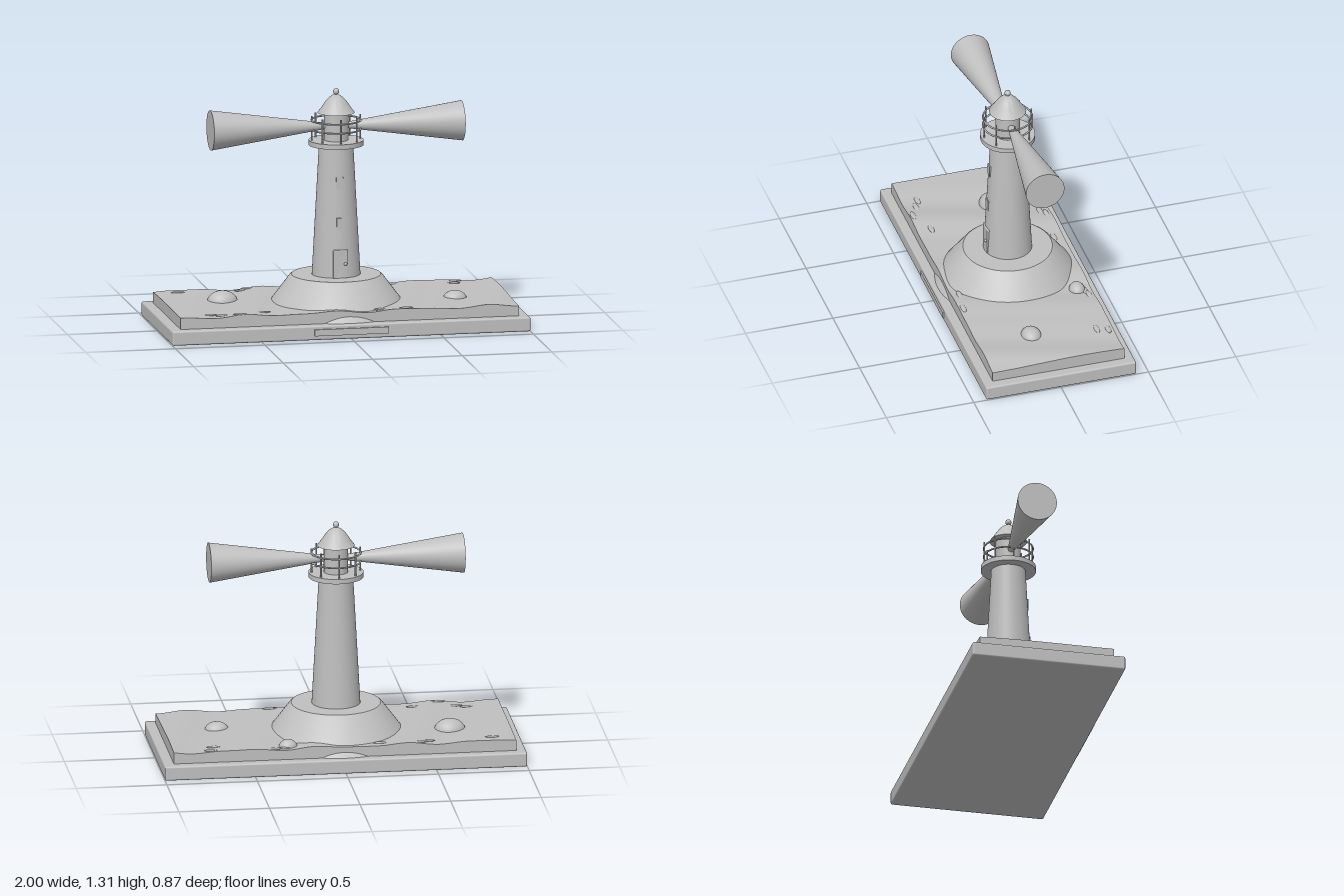
import * as THREE from 'three';
import { toCreasedNormals } from 'three/addons/utils/BufferGeometryUtils.js';
import { RoundedBoxGeometry } from 'three/addons/geometries/RoundedBoxGeometry.js';

const grey = new THREE.MeshStandardMaterial({ color: 0xbfbfbf });
grey.name = 'plain grey';

function add(parent, name, geometry, x = 0, y = 0, z = 0) {
  const mesh = new THREE.Mesh(geometry, grey);
  mesh.name = name;
  mesh.position.set(x, y, z);
  parent.add(mesh);
  return mesh;
}

// Turned part from [radius, height] pairs, listed bottom to top
function turned(profile, segments = 48) {
  const points = profile.map(([r, y]) => new THREE.Vector2(r, y));
  return toCreasedNormals(new THREE.LatheGeometry(points, segments), 0.5);
}

const waveHeight = (x, z) =>
  0.141 + 0.006 * Math.sin(14 * x + 4.5 * z + 1.5) + 0.003 * Math.sin(23 * x + 7 * z);

// Block of water with a rippled top
function seaGeometry() {
  const g = new THREE.BoxGeometry(1.89, 0.06, 0.754, 80, 1, 24);
  const p = g.attributes.position;
  for (let i = 0; i < p.count; i++) {
    const x = p.getX(i), z = p.getZ(i);
    p.setY(i, p.getY(i) > 0 ? waveHeight(x, z) : 0.075);
  }
  return toCreasedNormals(g, 0.6);
}

export function createModel() {
  const model = new THREE.Group();
  model.name = 'lighthouse';

  // Plinth with plaque, and the sea on it
  add(model, 'plinth', new RoundedBoxGeometry(2, 0.08, 0.858, 3, 0.01), 0, 0.04, -0.002);
  add(model, 'plaque', new THREE.BoxGeometry(0.415, 0.036, 0.018), 0, 0.042, 0.427);
  add(model, 'sea', seaGeometry(), 0, 0, -0.002);

  // Rocks: x, z, radius, top height
  [[-0.615, -0.1, 0.086, 0.19], [0.65, 0.065, 0.066, 0.173], [0.305, -0.303, 0.052, 0.172]]
    .forEach(([x, z, r, top]) => {
      add(model, 'rock', new THREE.SphereGeometry(r, 24, 16), x, 0.125, z)
        .scale.set(1, (top - 0.125) / r, 0.85);
    });

  // Foam patches on the water: x, z
  [[-0.82, -0.315], [-0.465, -0.325], [-0.425, -0.35], [-0.2, -0.325], [0.33, -0.34],
    [0.38, -0.35], [0.735, -0.35], [0.715, -0.29], [-0.76, 0.285], [-0.7, 0.31],
    [-0.61, 0.355], [-0.465, 0.295], [0.32, 0.352], [0.18, 0.33]]
    .forEach(([x, z]) => {
      add(model, 'foam', new THREE.SphereGeometry(0.038, 20, 10), x, waveHeight(x, z) + 0.001, z)
        .scale.set(1, 0.15, 0.38);
    });

  // Island and tower
  add(model, 'island', turned([[0, 0.08], [0.4, 0.08], [0.256, 0.272], [0.245, 0.28], [0, 0.28]], 64));
  add(model, 'tower', turned([[0, 0.27], [0.134, 0.27], [0.094, 1.005], [0, 1.005]]));

  // Door, knob and windows
  add(model, 'door', new RoundedBoxGeometry(0.084, 0.157, 0.03, 2, 0.006), 0, 0.357, 0.116);
  add(model, 'doorKnob', new THREE.SphereGeometry(0.009, 16, 12), 0.026, 0.358, 0.134);
  [[0.58, 0.11], [0.805, 0.099]].forEach(([y, z]) => {
    add(model, 'window', new THREE.BoxGeometry(0.04, 0.064, 0.02), 0, y, z);
  });

  // Gallery deck with railing
  add(model, 'galleryDeck', new THREE.CylinderGeometry(0.151, 0.151, 0.027, 48), 0, 1.0145, 0);
  for (let i = 0; i < 8; i++) {
    const a = (i * Math.PI) / 4;
    add(model, 'railPost', new THREE.CylinderGeometry(0.0045, 0.0045, 0.14, 10),
      0.135 * Math.cos(a), 1.093, 0.135 * Math.sin(a));
  }
  for (const y of [1.088, 1.138]) {
    add(model, 'rail', new THREE.TorusGeometry(0.135, 0.005, 8, 64), 0, y, 0).rotation.x = Math.PI / 2;
  }

  // Lantern room, roof and finial
  add(model, 'lantern', new THREE.CylinderGeometry(0.067, 0.067, 0.155, 40), 0, 1.104, 0);
  add(model, 'roof', turned([[0, 1.18], [0.102, 1.18], [0.085, 1.202], [0.068, 1.228], [0.052, 1.25],
    [0.036, 1.266], [0.018, 1.278], [0, 1.283]]));
  add(model, 'finial', new THREE.SphereGeometry(0.017, 24, 16), 0, 1.297, 0);

  // Light beams on both sides
  for (const side of [-1, 1]) {
    const beam = add(model, 'lightBeam', new THREE.CylinderGeometry(0.11, 0.016, 0.65, 48),
      side * 0.377, 1.107, 0);
    beam.rotation.z = -side * Math.PI / 2;
  }

  return model;
}
